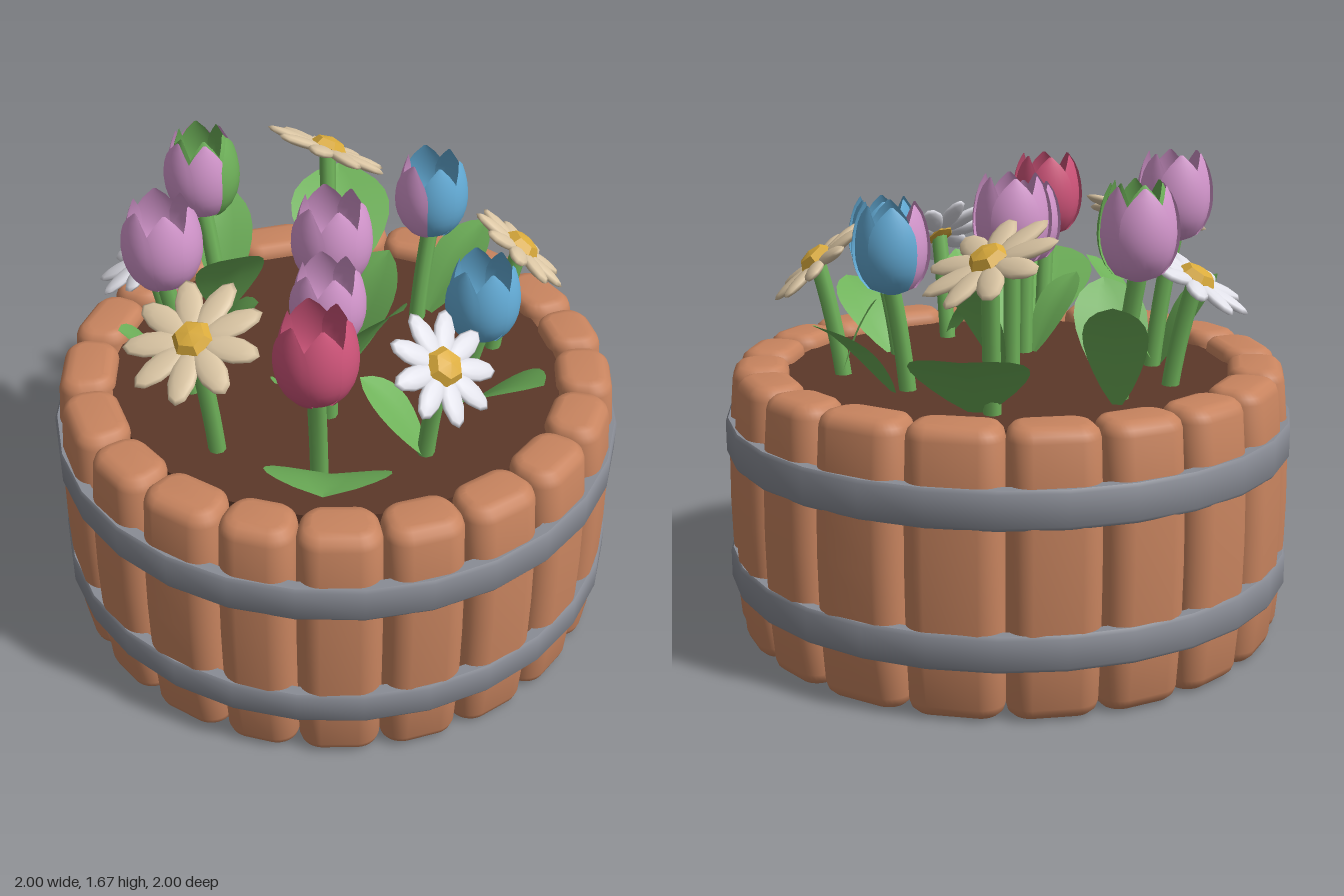
import * as THREE from 'three';
import { toCreasedNormals } from 'three/addons/utils/BufferGeometryUtils.js';

const mat = (name, color, side = THREE.FrontSide) => {
  const m = new THREE.MeshStandardMaterial({ color, side });
  m.name = name;
  return m;
};
const D = THREE.DoubleSide;
const M = {
  wood: mat('wood', 0xc8845f), metal: mat('metal', 0x898c95), soil: mat('soil', 0x5c3829),
  green: mat('green', 0x6fb25a, D), pink: mat('pink', 0xd698cf, D), red: mat('red', 0xd1557b, D),
  blue: mat('blue', 0x64add8, D), white: mat('white', 0xe0e0e8), beige: mat('beige', 0xdcc7a5),
  yellow: mat('yellow', 0xdaab3c),
};
const SOIL_Y = 0.92;

function mesh(name, geometry, material, parent) {
  const m = new THREE.Mesh(geometry, material);
  m.name = name;
  parent.add(m);
  return m;
}

// Smooth surface patch from a rule fn(u, v) -> [x, y, z]
function patch(nu, nv, fn) {
  const pos = [], idx = [];
  for (let j = 0; j <= nv; j++) for (let i = 0; i <= nu; i++) pos.push(...fn(i / nu, j / nv));
  for (let j = 0; j < nv; j++) for (let i = 0; i < nu; i++) {
    const a = j * (nu + 1) + i, b = a + nu + 1;
    idx.push(a, a + 1, b, a + 1, b + 1, b);
  }
  const g = new THREE.BufferGeometry();
  g.setAttribute('position', new THREE.Float32BufferAttribute(pos, 3));
  g.setIndex(idx);
  g.computeVertexNormals();
  return g;
}

// Rounded, bulging plank spanning the angles a0..a1 around the tub
function staveGeometry(a0, a1) {
  const R = 0.89, bevel = 0.045, c = 0.035;
  const w = ((a1 - a0) * R) / 2 - bevel, lo = 0.77 + bevel, hi = 0.965 - bevel;
  const s = new THREE.Shape();
  s.absarc(w - c, lo + c, c, -Math.PI / 2, 0);
  s.absarc(w - c, hi - c, c, 0, Math.PI / 2);
  s.absarc(-w + c, hi - c, c, Math.PI / 2, Math.PI);
  s.absarc(-w + c, lo + c, c, Math.PI, Math.PI * 1.5);
  const g = new THREE.ExtrudeGeometry(s, {
    depth: 0.96 - 2 * bevel, steps: 6, curveSegments: 4,
    bevelSize: bevel, bevelThickness: bevel, bevelSegments: 3,
  });
  const p = g.attributes.position;
  for (let i = 0; i < p.count; i++) {
    const y = p.getZ(i) + bevel + 0.01;
    const bulge = 0.028 * (1 - ((y - 0.49) / 0.48) ** 2);
    const t = (a0 + a1) / 2 - p.getX(i) / R, r = p.getY(i) + bulge;
    p.setXYZ(i, r * Math.sin(t), y, r * Math.cos(t));
  }
  return toCreasedNormals(g, 1.0);
}

function addTub(root) {
  const tub = new THREE.Group();
  tub.name = 'tub';
  root.add(tub);
  // Staves of slightly uneven width, the same on both halves
  const seams = [0, 17.5, 34.5, 52, 68, 86, 103, 123, 143, 162, 180].map(THREE.MathUtils.degToRad);
  for (const side of [1, -1])
    for (let i = 0; i < 10; i++) {
      const [a, b] = [seams[i] * side, seams[i + 1] * side];
      mesh('stave', staveGeometry(Math.min(a, b), Math.max(a, b)), M.wood, tub);
    }
  // Hoops
  for (const [y0, y1] of [[0.195, 0.315], [0.66, 0.79]]) {
    const prof = [[0.955, y0], [0.992, y0], [1, y0 + 0.012], [1, y1 - 0.012], [0.992, y1], [0.955, y1], [0.955, y0]];
    const g = new THREE.LatheGeometry(prof.map(q => new THREE.Vector2(...q)), 28);
    mesh('hoop', toCreasedNormals(g, 0.7), M.metal, tub);
  }
  // Soil filling and wooden floor
  const soil = mesh('soil', new THREE.CylinderGeometry(0.79, 0.79, 0.3, 36), M.soil, tub);
  soil.position.y = SOIL_Y - 0.15;
  const floor = mesh('floor', new THREE.CylinderGeometry(0.79, 0.78, 0.05, 36), M.wood, tub);
  floor.position.y = 0.037;
}

// Stem leaning slightly outwards
function addStem(x, y, z, parent) {
  const curve = new THREE.QuadraticBezierCurve3(
    new THREE.Vector3(x * 0.88, SOIL_Y - 0.02, z * 0.88),
    new THREE.Vector3(x * 0.92, (SOIL_Y + y) / 2, z * 0.92),
    new THREE.Vector3(x, y, z));
  mesh('stem', new THREE.TubeGeometry(curve, 6, 0.03, 8), M.green, parent);
}

// Ring of six overlapping petals; color(i) picks each material
function addPetals(parent, x, z, y0, h, W, color) {
  for (let i = 0; i < 6; i++) {
    const mid = (i + 0.5) * Math.PI / 3, inner = i % 2 ? 0.92 : 1;
    const g = patch(8, 10, (u, v) => {
      const t = Math.max(0, (v - 0.6) / 0.4);
      const a = mid + (u * 2 - 1) * 0.66 * (1 - 0.92 * t ** 2.4);
      const r = W * inner * Math.sin(Math.PI * 0.79 * v ** 0.7) ** 0.65;
      return [x + r * Math.sin(a), y0 + h * v, z + r * Math.cos(a)];
    });
    mesh('tulipPetal', g, color(i), parent);
  }
}

function addTulip(root, x, z, y0, y1, color) {
  const tulip = new THREE.Group();
  tulip.name = 'tulip';
  root.add(tulip);
  addStem(x, y0 + 0.02, z, tulip);
  const h = y1 - y0;
  addPetals(tulip, x, z, y0, h, h * 0.42, color);
  const pistil = mesh('pistil', new THREE.SphereGeometry(0.025, 8, 6), M.green, tulip);
  pistil.position.set(x, y0 + h * 0.4, z);
  return tulip;
}

// Flat flower with nine petals, facing the direction n
function addDaisy(root, x, y, z, n, radius, material) {
  const daisy = new THREE.Group();
  daisy.name = 'daisy';
  root.add(daisy);
  addStem(x, y - 0.01, z, daisy);
  const head = new THREE.Group();
  head.name = 'daisyHead';
  head.position.set(x, y, z);
  head.quaternion.setFromUnitVectors(new THREE.Vector3(0, 1, 0), new THREE.Vector3(...n).normalize());
  daisy.add(head);
  const len = radius * 0.46;
  for (let i = 0; i < 9; i++) {
    const g = new THREE.SphereGeometry(1, 10, 6);
    g.scale(len, 0.018, radius * 0.205).translate(radius - len, 0, 0).rotateY(i * Math.PI * 2 / 9 + 0.2);
    mesh('daisyPetal', g, material, head);
  }
  const disc = new THREE.SphereGeometry(0.07, 6, 4).scale(1, 0.55, 1);
  mesh('daisyCentre', toCreasedNormals(disc, 0.3), M.yellow, head).position.y = 0.012;
}

// Broad folded leaf rising from the soil to its tip
function addLeaf(root, bx, bz, tx, ty, tz, half) {
  const dx = tx - bx, dz = tz - bz, L = Math.hypot(dx, dz);
  const g = patch(6, 9, (u, v) => {
    const s = u * 2 - 1;
    const w = half * (0.12 * (1 - v) + Math.sin(Math.PI * v ** 1.1) ** 0.75) * s;
    const y = SOIL_Y - 0.01 + (ty - SOIL_Y) * (v + 0.12 * Math.sin(Math.PI * v)) + Math.abs(w) * 0.15;
    return [bx + dx * v - dz / L * w, y, bz + dz * v + dx / L * w];
  });
  mesh('leaf', g, M.green, root);
}

export function createModel() {
  const root = new THREE.Group();
  root.name = 'flowerTub';
  addTub(root);

  const only = m => () => m;
  addTulip(root, -0.5, -0.3, 1.36, 1.68, only(M.pink));
  addTulip(root, 0, -0.02, 1.28, 1.61, only(M.pink));
  addTulip(root, -0.22, 0.19, 1.24, 1.54, only(M.pink));
  addTulip(root, -0.5, 0.43, 1.28, 1.6, only(M.red));
  addTulip(root, 0.22, 0.47, 1.19, 1.49, only(M.blue));
  // Two-coloured tulip
  addTulip(root, 0.51, -0.04, 1.25, 1.56, i => (i === 3 || i === 4 ? M.pink : M.blue));
  // Pink tulip with one green petal and a green lining
  const lined = addTulip(root, -0.06, -0.62, 1.32, 1.64, i => (i === 0 ? M.green : M.pink));
  addPetals(lined, -0.06, -0.62, 1.335, 0.315, 0.115, only(M.green));

  addDaisy(root, -0.12, 1.31, 0.61, [0, 0.72, 0.7], 0.2, M.white);
  addDaisy(root, -0.35, 1.29, -0.58, [-0.33, 0.83, -0.38], 0.21, M.white);
  addDaisy(root, 0.58, 1.32, 0.32, [0.55, 0.75, 0.33], 0.2, M.beige);
  addDaisy(root, -0.67, 1.4, 0.05, [-0.42, 0.88, 0.12], 0.235, M.beige);
  addDaisy(root, 0.45, 1.43, -0.51, [0.5, 0.86, 0], 0.235, M.beige);

  // Leaves: base x, z, then tip x, y, z and half width
  for (const l of [
    [-0.4, 0.4, -0.73, 1.2, 0.7, 0.19], [0.42, -0.4, 0.71, 1.2, -0.72, 0.18],
    [0.5, -0.03, 0.81, 1.2, -0.03, 0.1], [0.0, -0.6, 0.16, 1.3, -0.76, 0.1],
    [-0.04, -0.56, -0.14, 1.3, -0.35, 0.12], [-0.46, -0.27, -0.67, 1.25, -0.35, 0.1],
    [-0.46, -0.27, -0.29, 1.32, -0.07, 0.12], [0.03, 0, 0.28, 1.3, -0.02, 0.11],
    [0, 0.02, 0.02, 1.32, 0.3, 0.12], [-0.22, 0.15, -0.45, 1.2, 0.18, 0.08],
    [0.52, 0.28, 0.42, 1.2, 0.2, 0.07], [-0.11, 0.55, -0.2, 1.17, 0.32, 0.08],
    [0.2, 0.45, 0.2, 1.17, 0.77, 0.11],
  ]) addLeaf(root, ...l);
  return root;
}
